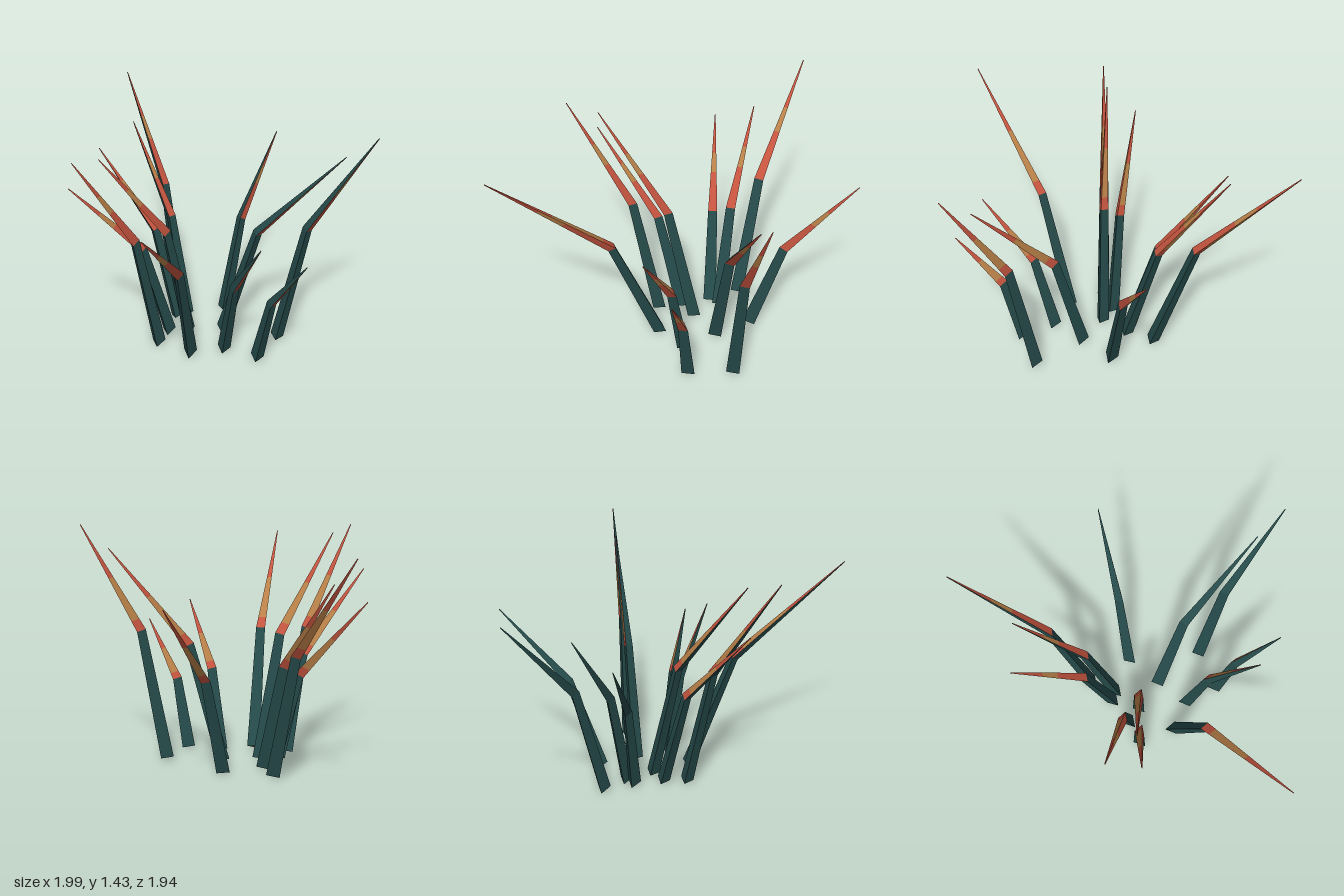
import * as THREE from 'three';

function material(name, color) {
  const m = new THREE.MeshStandardMaterial({ color });
  m.name = name;
  return m;
}

// Each blade: base, bend and tip of its centre line
const BLADES = [
  [[-0.14, 0.02, 0.215], [-0.39, 0.73, 0.345], [-1.0, 1.31, 0.65]],
  [[-0.185, 0.02, -0.005], [-0.345, 0.78, -0.04], [-0.74, 1.4, -0.11]],
  [[-0.045, 0.02, -0.045], [-0.205, 0.645, -0.115], [-0.61, 1.14, -0.29]],
  [[0.045, 0.02, 0.035], [-0.12, 0.765, 0], [-0.55, 1.36, -0.1]],
  [[0.03, 0.02, 0.34], [-0.02, 0.515, 0.45], [-0.13, 0.92, 0.72]],
  [[0.12, 0.02, -0.125], [0.105, 0.59, -0.3], [0.05, 1.04, -0.72]],
  [[0.093, 0.02, 0.55], [0.08, 0.445, 0.65], [0.06, 0.8, 0.9]],
  [[0.18, 0.02, -0.095], [0.22, 0.65, -0.27], [0.3, 1.16, -0.66]],
  [[0.2, 0.02, 0.19], [0.3, 0.725, 0.36], [0.51, 1.29, 0.81]],
  [[0.355, 0.02, 0.5], [0.42, 0.8, 0.635], [0.58, 1.43, 0.97]],
  [[0.28, 0.02, -0.24], [0.37, 0.755, -0.46], [0.57, 1.34, -0.97]],
  [[0.39, 0.02, 0.04], [0.58, 0.595, 0.01], [0.99, 1.05, -0.04]],
];
const RADII = [0.046, 0.033, 0.003];
const TEAL = 0, RED = 1, TAN = 2;

// Colour bands of the upper half, one list per side: [start, end, colour]
const UPPER_BANDS = [
  [[0, 0.4, RED], [0.4, 0.6, TAN], [0.6, 1, RED]],
  [[0, 0.1, RED], [0.1, 0.5, TAN], [0.5, 1, RED]],
  [[0, 1, TEAL]],
];

// Triangular ring with one corner to the back, square to the given direction
function ring(centre, dir, radius) {
  const q = new THREE.Quaternion().setFromUnitVectors(new THREE.Vector3(0, 1, 0), dir);
  return [-150, -30, 90].map((deg) => {
    const a = THREE.MathUtils.degToRad(deg);
    return new THREE.Vector3(Math.cos(a) * radius, 0, -Math.sin(a) * radius)
      .applyQuaternion(q).add(centre);
  });
}

function bladeGeometry(points) {
  const [base, bend, tip] = points.map((p) => new THREE.Vector3(...p));
  const low = bend.clone().sub(base).normalize();
  const high = tip.clone().sub(bend).normalize();
  const mid = low.clone().add(high).normalize();
  const r0 = ring(base, low, RADII[0]);
  const r1 = ring(bend, mid, RADII[1]);
  const r2 = ring(tip, high, RADII[2]);
  const buckets = [[], [], []];
  const tri = (colour, ...corners) => corners.forEach((v) => buckets[colour].push(v.x, v.y, v.z));
  const quad = (colour, a, b, c, d) => {
    tri(colour, a, b, c);
    tri(colour, a, c, d);
  };

  for (let i = 0; i < 3; i++) {
    const j = (i + 1) % 3;
    quad(TEAL, r0[i], r0[j], r1[j], r1[i]);
    const at = (k, t) => r1[k].clone().lerp(r2[k], t);
    for (const [s, e, colour] of UPPER_BANDS[i]) {
      quad(colour, at(i, s), at(j, s), at(j, e), at(i, e));
    }
  }
  tri(RED, r0[0], r0[2], r0[1]);
  tri(RED, r2[0], r2[1], r2[2]);

  const g = new THREE.BufferGeometry();
  g.setAttribute('position', new THREE.Float32BufferAttribute(buckets.flat(), 3));
  let start = 0;
  buckets.forEach((b, i) => {
    g.addGroup(start, b.length / 3, i);
    start += b.length / 3;
  });
  g.computeVertexNormals();
  return g;
}

export function createModel() {
  const materials = [
    material('deep teal', 0x264b4b),
    material('rust red', 0xc4543f),
    material('tan', 0xb98048),
  ];
  const model = new THREE.Group();
  model.name = 'grassClump';
  BLADES.forEach((points, i) => {
    const blade = new THREE.Mesh(bladeGeometry(points), materials);
    blade.name = `grassBlade${i + 1}`;
    model.add(blade);
  });
  return model;
}
